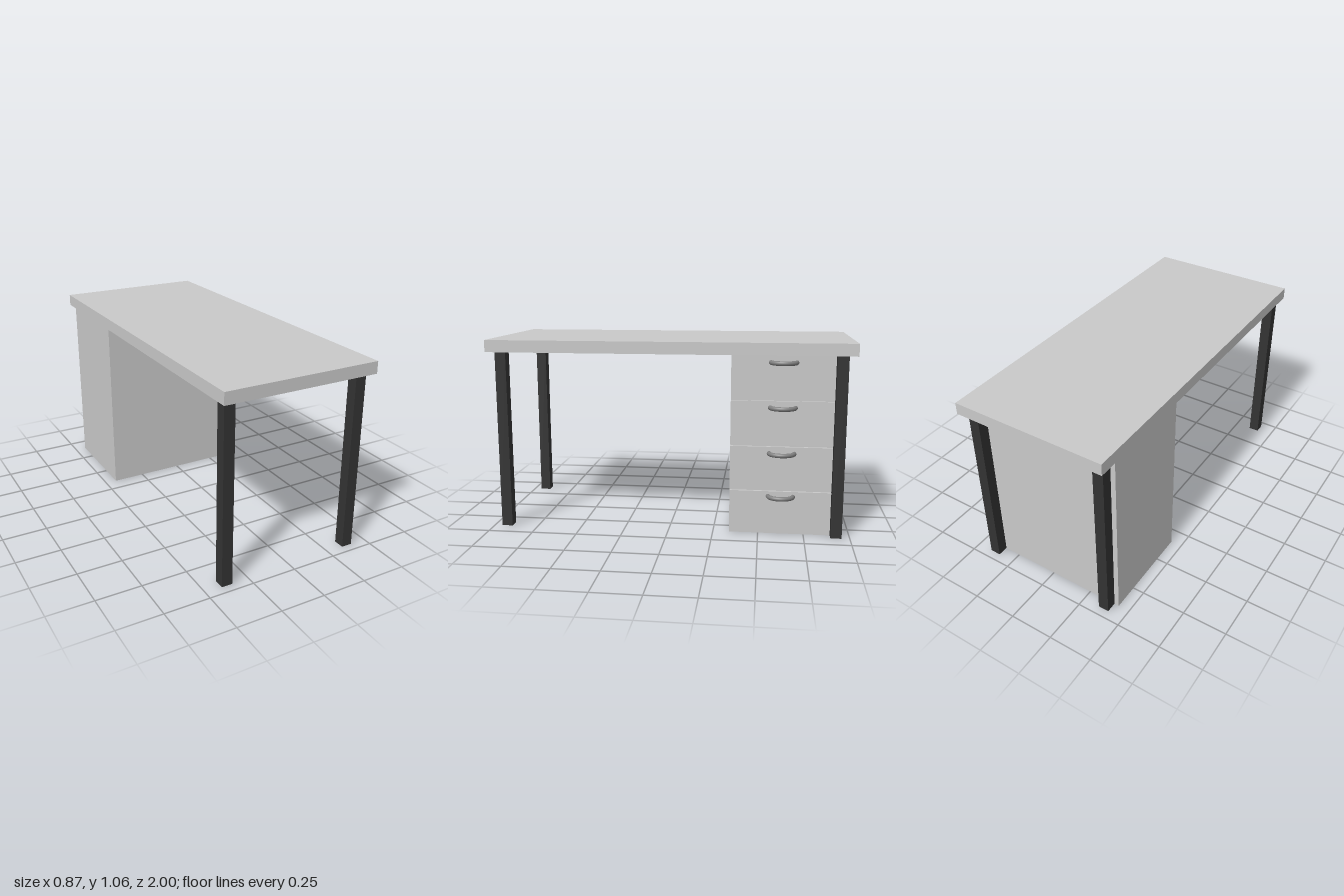
import * as THREE from 'three';

const board = new THREE.MeshStandardMaterial({ color: 0xc9c9c9 });
board.name = 'light grey board';
const legPaint = new THREE.MeshStandardMaterial({ color: 0x333333 });
legPaint.name = 'dark leg paint';
const metal = new THREE.MeshStandardMaterial({ color: 0x808080 });
metal.name = 'grey handle metal';

// Box given by its minimum and maximum corners
function block(name, material, min, max) {
  const size = max.map((v, i) => v - min[i]);
  const mesh = new THREE.Mesh(new THREE.BoxGeometry(...size), material);
  mesh.position.set(...max.map((v, i) => (v + min[i]) / 2));
  mesh.name = name;
  return mesh;
}

// Bowed pull handle whose feet rest on x = 0
function makeHandle() {
  const handle = new THREE.Group();
  handle.name = 'handle';
  const points = [];
  for (let i = 0; i <= 8; i++) {
    const a = (i / 8) * Math.PI;
    points.push(new THREE.Vector3(0.057 * Math.sin(a), 0, 0.068 * Math.cos(a)));
  }
  const curve = new THREE.CatmullRomCurve3(points);
  const bow = new THREE.Mesh(new THREE.TubeGeometry(curve, 24, 0.0125, 12), metal);
  bow.name = 'handleBow';
  handle.add(bow);
  return handle;
}

export function createModel() {
  const desk = new THREE.Group();
  desk.name = 'desk';

  // Table top
  desk.add(block('tableTop', board, [-0.435, 0.997, -1], [0.435, 1.063, 1]));

  // Four square legs
  for (const x of [-0.378, 0.376]) {
    for (const z of [-0.925, 0.925]) {
      desk.add(block('leg', legPaint, [x - 0.03, 0.002, z - 0.03], [x + 0.03, 0.997, z + 0.03]));
    }
  }

  // Drawer cabinet: carcass with four separate fronts
  const cabinet = new THREE.Group();
  cabinet.name = 'drawerCabinet';
  const front = 0.353;
  cabinet.add(block('carcass', board, [-0.435, 0, -0.895], [front - 0.015, 0.997, -0.34]));
  const drawers = [
    [0, 0.241, 0.214], [0.251, 0.492, 0.456],
    [0.502, 0.744, 0.709], [0.755, 0.997, 0.953],
  ];
  for (const [bottom, top, handleY] of drawers) {
    cabinet.add(block('drawerFront', board, [front - 0.015, bottom, -0.895], [front, top, -0.34]));
    const handle = makeHandle();
    handle.position.set(front, handleY, -0.62);
    cabinet.add(handle);
  }
  desk.add(cabinet);
  return desk;
}
